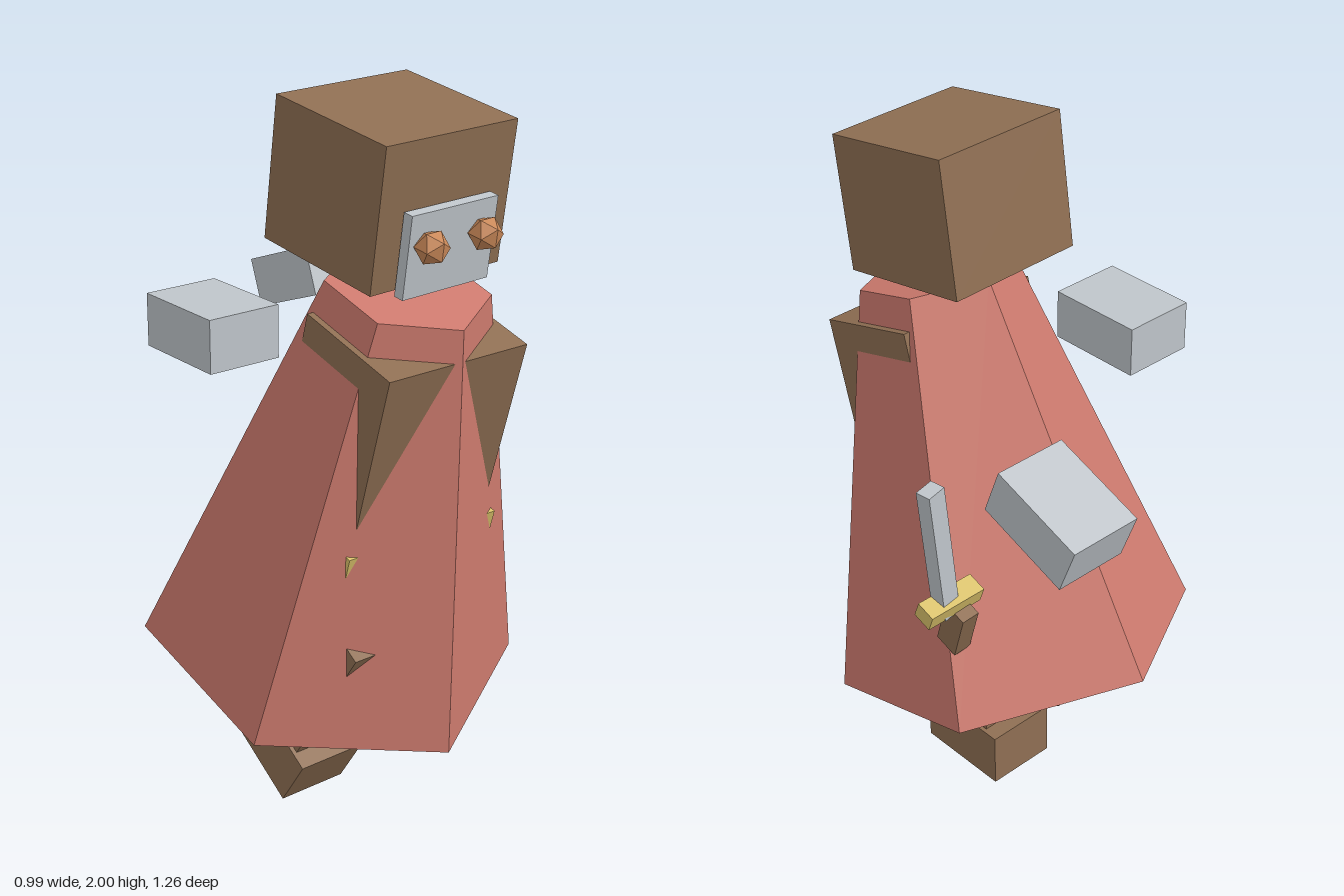
import * as THREE from 'three';

const mat = (name, color) => Object.assign(new THREE.MeshStandardMaterial({ color }), { name });

export function createModel() {
  const red = mat('robe red', 0xcd7a6e);
  const brown = mat('leather brown', 0x8f6f53);
  const steel = mat('pale steel', 0xbfc5ca);
  const gold = mat('gold', 0xd8c06a);
  const copper = mat('eye copper', 0xc98858);

  // Yaw first, then pitch, then roll
  const pose = (obj, pos, rot = [0, 0, 0]) => {
    obj.position.set(...pos);
    obj.rotation.set(...rot, 'YXZ');
    return obj;
  };
  const named = (obj, name) => Object.assign(obj, { name });
  const box = (parent, name, material, size, pos, rot) => {
    const mesh = new THREE.Mesh(new THREE.BoxGeometry(...size), material);
    parent.add(pose(named(mesh, name), pos, rot));
    return mesh;
  };

  const model = named(new THREE.Group(), 'robedFigure');

  // Body leans forward: six-sided robe with the torso corners and belt poking through
  const body = pose(named(new THREE.Group(), 'body'), [-0.015, 0.39, 0.09], [0.274, 0.078, 0]);
  const robeGeometry = new THREE.CylinderGeometry(0.22, 0.535, 1.165, 6).toNonIndexed();
  robeGeometry.computeVertexNormals();
  const robe = named(new THREE.Mesh(robeGeometry, red), 'robe');
  robe.position.y = 0.5825;
  body.add(robe);
  box(body, 'torso', brown, [0.46, 0.63, 0.338], [0, 0.763, 0.065]);
  box(body, 'belt', gold, [0.506, 0.09, 0.384], [0, 0.504, 0.065]);
  model.add(body);

  // Head with a face plate and two faceted eyes
  const head = pose(named(new THREE.Group(), 'head'), [-0.005, 1.78, 0.333], [0.148, 0.117, 0.01]);
  box(head, 'skull', brown, [0.438, 0.385, 0.41], [0, 0, 0]);
  box(head, 'facePlate', steel, [0.29, 0.222, 0.03], [0, -0.094, 0.228]);
  for (const side of [-1, 1]) {
    const eye = new THREE.Mesh(new THREE.IcosahedronGeometry(0.046, 0), copper);
    eye.position.set(side * 0.091, -0.065, 0.268);
    head.add(named(eye, side > 0 ? 'leftEye' : 'rightEye'));
  }
  model.add(head);

  // Legs: each group is centred on its foot
  const addLeg = (name, pos, rot) => {
    const leg = pose(named(new THREE.Group(), name), pos, rot);
    box(leg, 'foot', brown, [0.21, 0.168, 0.292], [0, 0, 0]);
    box(leg, 'shin', brown, [0.185, 0.55, 0.19], [0, 0.275, 0]);
    model.add(leg);
  };
  addLeg('leftLeg', [0.14, 0.178, 0.038], [0, 0.07, 0]);
  addLeg('rightLeg', [-0.168, 0.153, 0.14], [0.577, 0.08, 0]);

  // Floating hands
  const hand = [0.215, 0.145, 0.288];
  box(model, 'rightHand', steel, hand, [-0.36, 1.38, 0.048], [0, 0.07, 0]);
  box(model, 'leftHand', steel, hand, [0.284, 1.293, -0.456], [-0.36, 0.07, 0]);

  // Sword
  const sword = named(new THREE.Group(), 'sword');
  box(sword, 'blade', steel, [0.058, 0.43, 0.046], [0.43, 1.055, -0.138], [0, 0.2, -0.11]);
  box(sword, 'guard', gold, [0.185, 0.05, 0.06], [0.397, 0.872, -0.135], [-0.35, 0.08, 0]);
  box(sword, 'grip', brown, [0.055, 0.17, 0.075], [0.364, 0.768, -0.124], [-0.35, 0.08, -0.1]);
  model.add(sword);

  return model;
}
